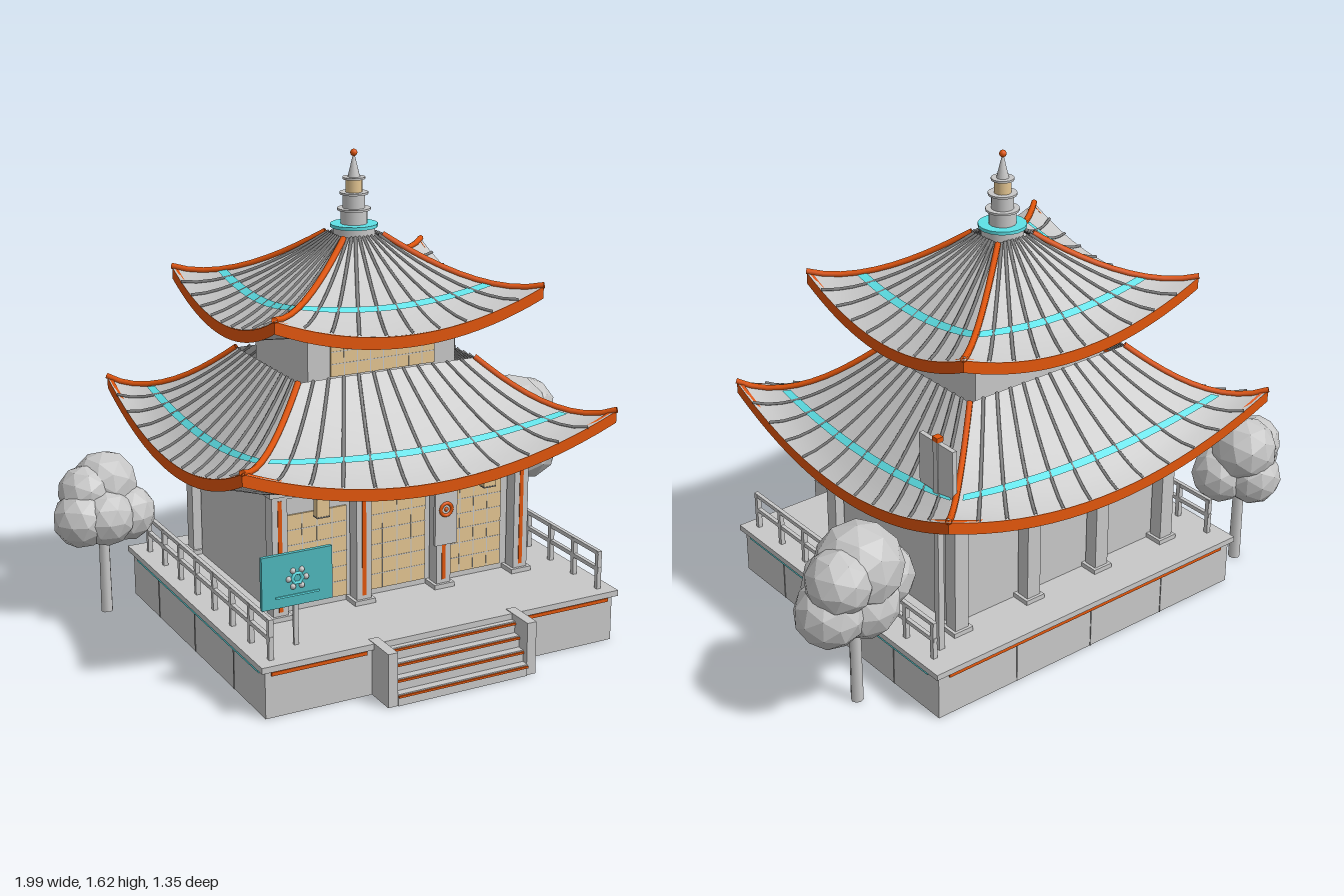
import * as THREE from 'three';

const mat = (name, color, extra = {}) => Object.assign(new THREE.MeshStandardMaterial({ color, ...extra }), { name });

export function createModel() {
  const M = {
    stone: mat('light grey', 0xc8c8c8),
    roof: mat('roof grey', 0xc8c8c8, { side: THREE.DoubleSide }),
    leaf: mat('foliage grey', 0xc6c6c6, { flatShading: true }),
    rib: mat('dark grey', 0x858585),
    orange: mat('orange', 0xe2560c, { side: THREE.DoubleSide }),
    teal: mat('bright teal', 0x5fe6ec, { side: THREE.DoubleSide }),
    board: mat('deep teal', 0x4fb8bd),
    beige: mat('warm beige', 0xe4c692),
  };
  const model = new THREE.Group();
  model.name = 'pagoda';

  const add = (parent, name, geo, material, x = 0, y = 0, z = 0) => {
    const m = new THREE.Mesh(geo, material);
    m.name = name;
    m.position.set(x, y, z);
    parent.add(m);
    return m;
  };
  // Box given by its min and max along each axis
  const box = (parent, name, material, x0, x1, y0, y1, z0, z1) =>
    add(parent, name, new THREE.BoxGeometry(x1 - x0, y1 - y0, z1 - z0), material, (x0 + x1) / 2, (y0 + y1) / 2, (z0 + z1) / 2);
  const cyl = (parent, name, material, r0, r1, y0, y1, x = 0, z = 0, seg = 16) =>
    add(parent, name, new THREE.CylinderGeometry(r1, r0, y1 - y0, seg), material, x, (y0 + y1) / 2, z);
  const group = (name, x = 0, y = 0, z = 0) => {
    const g = new THREE.Group();
    g.name = name;
    g.position.set(x, y, z);
    model.add(g);
    return g;
  };
  // Surface from a rule fn(u in -1..1, v in 0..1) -> Vector3
  const grid = (fn, nu, nv) => {
    const pos = [], idx = [];
    for (let j = 0; j <= nv; j++) for (let i = 0; i <= nu; i++) pos.push(...fn(i / nu * 2 - 1, j / nv).toArray());
    for (let j = 0; j < nv; j++) for (let i = 0; i < nu; i++) {
      const a = j * (nu + 1) + i, c = a + nu + 1;
      idx.push(a, a + 1, c, a + 1, c + 1, c);
    }
    const g = new THREE.BufferGeometry();
    g.setAttribute('position', new THREE.Float32BufferAttribute(pos, 3));
    g.setIndex(idx);
    g.computeVertexNormals();
    return g;
  };

  // Sweeping four-sided roof with soffit, ribs, hips, eave boards and a teal stripe
  const roof = (name, hx0, hz0, hx1, hz1, yEave, yTop, lift, ribs) => {
    const g = group(name, -0.028, 0, -0.088);
    for (let s = 0; s < 4; s++) {
      const P = (u, t, dy = 0, out = 0, rise = yTop - yEave) => {
        const x = THREE.MathUtils.lerp(hx0, hx1, t) + out, z = THREE.MathUtils.lerp(hz0, hz1, t) + out;
        const y = yEave + rise * Math.pow(t, 1.25) + lift * u * u * Math.pow(1 - t, 2.5) + dy;
        return [new THREE.Vector3(u * x, y, z), new THREE.Vector3(x, y, -u * z),
          new THREE.Vector3(-u * x, y, -z), new THREE.Vector3(-x, y, u * z)][s];
      };
      add(g, 'roofSlope', grid((u, t) => P(u, t), 20, 10), M.roof);
      add(g, 'soffit', grid((u, t) => P(-u, t, -0.038, -0.006, 0), 20, 8), M.roof);
      add(g, 'roofStripe', grid((u, v) => P(u * 0.95, 0.29 + v * 0.06, 0.006), 20, 1), M.teal);
      // Eave board: a closed rectangular section tucked under the roof edge
      const section = [[-0.014, -0.042], [-0.001, -0.042], [-0.001, -0.002], [-0.014, -0.002], [-0.014, -0.042]];
      const eave = grid((u, v) => { const [o, d] = section[Math.round(v * 4)]; return P(u, 0, d, o); }, 20, 4).toNonIndexed();
      eave.computeVertexNormals();
      add(g, 'eaveBoard', eave, M.orange);
      const bar = (u, r, dy, sides) => {
        const pts = [];
        for (let i = 0; i <= 8; i++) pts.push(P(u, i / 8, dy));
        return new THREE.TubeGeometry(new THREE.CatmullRomCurve3(pts), 10, r, sides);
      };
      for (let i = 1 - ribs; i < ribs; i++) add(g, 'roofRib', bar(i / ribs, 0.006, 0.002, 4), M.rib);
      add(g, 'hipRidge', bar(1, 0.0105, 0.003, 6), M.orange);
    }
  };
  roof('lowerRoof', 0.676, 0.581, 0.327, 0.243, 0.65, 0.932, 0.138, 6);
  roof('upperRoof', 0.486, 0.414, 0.072, 0.066, 1.094, 1.342, 0.102, 5);

  // Platform
  const base = group('platform', -0.028, 0, -0.006);
  box(base, 'platformBase', M.stone, -0.64, 0.64, 0, 0.16, -0.56, 0.56);
  box(base, 'platformSlab', M.stone, -0.656, 0.656, 0.16, 0.18, -0.574, 0.574);
  for (const s of [-1, 1]) {
    box(base, 'sideTrim', M.teal, s * 0.643 - 0.004, s * 0.643 + 0.004, 0.143, 0.155, -0.51, 0.525);
    box(base, 'frontTrim', M.orange, s * 0.455 - 0.165, s * 0.455 + 0.165, 0.143, 0.155, 0.559, 0.567);
    for (const x of [-0.32, 0, 0.32]) box(base, 'sideSeam', M.rib, s * 0.641 - 0.001, s * 0.641 + 0.001, 0, 0.14, x - 0.002, x + 0.002);
    // Side railings
    const x = s * 0.605;
    for (const y of [0.25, 0.308]) box(base, 'rail', M.stone, x - 0.007, x + 0.007, y - 0.007, y + 0.007, -0.5, 0.535);
    for (let i = 0; i < 8; i++) {
      const z = -0.49 + i * 0.145;
      box(base, 'railPost', M.stone, x - 0.008, x + 0.008, 0.18, 0.312, z - 0.008, z + 0.008);
    }
  }
  box(base, 'backTrim', M.orange, -0.6, 0.6, 0.143, 0.155, -0.567, -0.559);
  for (const x of [-0.32, 0, 0.32]) box(base, 'backSeam', M.rib, x - 0.002, x + 0.002, 0, 0.14, -0.562, -0.56);

  // Front stairs between two cheek walls
  const stairs = group('stairs', -0.027);
  for (const s of [-1, 1]) box(stairs, 'stairCheek', M.stone, s * 0.254 - 0.017, s * 0.254 + 0.017, 0, 0.182, 0.53, 0.663);
  for (let i = 0; i < 4; i++) {
    const z = 0.667 - i * 0.027, y = 0.04 * (i + 1);
    box(stairs, 'step', M.stone, -0.237, 0.237, 0, y, 0.53, z);
    box(stairs, 'stepNosing', M.orange, -0.237, 0.237, y - 0.011, y - 0.004, z, z + 0.006);
  }

  // Main hall with lattice panels
  const hall = group('hall', -0.028, 0, -0.088);
  box(hall, 'hallWalls', M.stone, -0.45, 0.45, 0.18, 0.78, -0.3, 0.3);
  const lattice = (x, w, y0, y1, z, nx, ny) => {
    box(hall, 'screenPanel', M.beige, x - w / 2, x + w / 2, y0, y1, z, z + 0.006);
    for (let i = 1; i < nx; i++) {
      const lx = x - w / 2 + w * i / nx;
      box(hall, 'latticeBar', M.stone, lx - 0.0015, lx + 0.0015, y0, y1, z + 0.004, z + 0.007);
    }
    for (let j = 1; j < ny; j++) {
      const ly = y0 + (y1 - y0) * j / ny;
      box(hall, 'latticeRail', M.stone, x - w / 2, x + w / 2, ly - 0.0015, ly + 0.0015, z + 0.004, z + 0.007);
    }
  };
  for (const x of [-0.295, 0, 0.295]) lattice(x, 0.215, 0.2, 0.515, 0.3, 4, 6);
  for (const s of [-1, 1]) {
    const z = s * 0.333;
    box(hall, 'lintel', M.stone, -0.48, 0.48, 0.592, 0.615, z - 0.022, z + 0.022);
    for (const x of [-0.452, -0.15, 0.15, 0.452]) {
      box(hall, 'column', M.stone, x - 0.027, x + 0.027, 0.18, 0.61, z - 0.025, z + 0.025);
      box(hall, 'columnFoot', M.stone, x - 0.038, x + 0.038, 0.18, 0.196, z - 0.035, z + 0.035);
      box(hall, 'bracket', M.stone, x - 0.038, x + 0.038, 0.605, 0.64, z - 0.035, z + 0.035);
      if (s > 0) box(hall, 'columnStripe', M.orange, x - 0.007, x + 0.007, 0.21, 0.59, z + 0.025, z + 0.027);
    }
  }
  // Small hanging lanterns
  for (const s of [-1, 1]) {
    box(hall, 'lantern', M.beige, s * 0.31 - 0.022, s * 0.31 + 0.022, 0.522, 0.582, 0.358, 0.384);
    for (const y of [0.52, 0.584]) box(hall, 'lanternRim', M.rib, s * 0.31 - 0.023, s * 0.31 + 0.023, y - 0.002, y + 0.002, 0.356, 0.386);
  }
  // Hanging plaque with a ring
  box(hall, 'plaque', M.stone, 0.107, 0.19, 0.34, 0.555, 0.364, 0.376);
  add(hall, 'plaqueRing', new THREE.TorusGeometry(0.021, 0.006, 8, 20), M.orange, 0.148, 0.465, 0.376);
  add(hall, 'plaqueHub', new THREE.SphereGeometry(0.008, 10, 8), M.orange, 0.148, 0.465, 0.374);

  // Upper storey
  box(hall, 'upperStorey', M.stone, -0.273, 0.273, 0.85, 1.1, -0.203, 0.203);
  lattice(0, 0.385, 0.925, 1.05, 0.203, 8, 3);

  // Spire
  const spire = group('spire', -0.028, 0, -0.088);
  cyl(spire, 'spireBase', M.stone, 0.07, 0.07, 1.325, 1.368);
  cyl(spire, 'spireCollar', M.teal, 0.08, 0.08, 1.366, 1.377);
  const tiers = [[0.045, 1.375, 1.422, 0.056], [0.037, 1.428, 1.475, 0.048], [0.028, 1.481, 1.525, 0.038]];
  tiers.forEach(([r, y0, y1, rim], i) => {
    cyl(spire, 'spireTier', i === 2 ? M.beige : M.stone, r, r, y0, y1);
    cyl(spire, 'spireRing', M.stone, rim, rim, y1, y1 + 0.007);
  });
  cyl(spire, 'spirePoint', M.stone, 0.021, 0.003, 1.53, 1.605);
  add(spire, 'finial', new THREE.SphereGeometry(0.012, 12, 8), M.orange, 0, 1.612, 0);

  // Teal notice board with a round flower ornament
  const sign = group('noticeBoard', -0.515, 0, 0.463);
  box(sign, 'boardPost', M.stone, -0.008, 0.008, 0.18, 0.33, -0.014, -0.004);
  box(sign, 'boardPanel', M.board, -0.121, 0.121, 0.32, 0.495, -0.007, 0.007);
  add(sign, 'flowerRing', new THREE.TorusGeometry(0.018, 0.006, 6, 6), M.teal, 0, 0.41, 0.008);
  for (let i = 0; i < 6; i++) {
    const a = i * Math.PI / 3;
    add(sign, 'petal', new THREE.SphereGeometry(0.01, 8, 6), M.stone, 0.03 * Math.cos(a), 0.41 + 0.03 * Math.sin(a), 0.006);
  }
  box(sign, 'boardLine', M.teal, -0.075, 0.075, 0.352, 0.358, 0.007, 0.011);

  // Tall banner on a post at the back corner
  const banner = group('cornerBanner', 0.53, 0, -0.467);
  box(banner, 'bannerPost', M.stone, -0.011, 0.011, 0.18, 0.935, -0.011, 0.011);
  box(banner, 'bannerPlate', M.stone, -0.008, 0.008, 0.76, 0.932, -0.083, 0.083);
  box(banner, 'bannerCap', M.orange, -0.012, 0.012, 0.935, 0.95, -0.013, 0.013);
  const ring = add(banner, 'bannerRing', new THREE.TorusGeometry(0.022, 0.005, 8, 20), M.orange, -0.009, 0.87, 0);
  ring.rotation.y = Math.PI / 2;

  // Trees: trunk and faceted crown, each clump as x, y, z, radius
  const tree = (name, x, z, h, clumps) => {
    const g = group(name);
    cyl(g, 'trunk', M.stone, 0.021, 0.018, 0, h, x, z, 8);
    clumps.forEach(([cx, cy, cz, r], i) => {
      const c = add(g, 'foliage', new THREE.IcosahedronGeometry(r, 1), M.leaf, cx, cy, cz);
      c.rotation.y = i * 0.9;
    });
  };
  tree('rightTree', 0.755, -0.32, 0.4, [
    [0.76, 0.53, -0.36, 0.145], [0.64, 0.42, -0.3, 0.115], [0.885, 0.42, -0.38, 0.115],
    [0.77, 0.42, -0.26, 0.12], [0.86, 0.53, -0.4, 0.11], [0.76, 0.41, -0.38, 0.12]]);
  tree('leftTree', -0.81, -0.47, 0.36, [
    [-0.79, 0.46, -0.5, 0.115], [-0.9, 0.37, -0.43, 0.1], [-0.73, 0.36, -0.45, 0.1],
    [-0.81, 0.36, -0.53, 0.1], [-0.87, 0.45, -0.47, 0.095], [-0.82, 0.37, -0.41, 0.1]]);
  return model;
}
